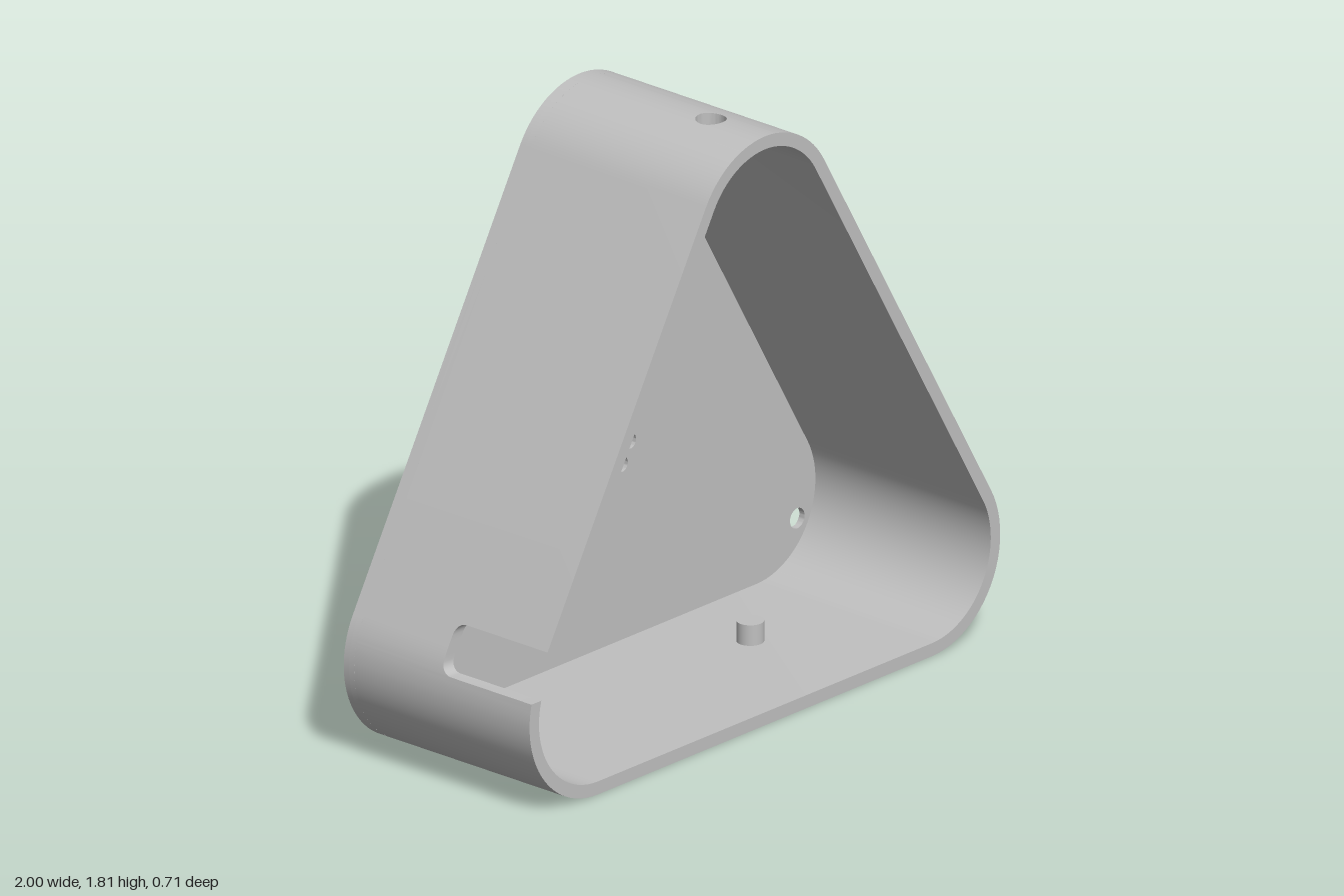
import * as THREE from 'three';
import { toCreasedNormals } from 'three/addons/utils/BufferGeometryUtils.js';

const A = 0.71, LOW = 0.29, TOP = 1.52;   // corner centres: (+-A, LOW) and (0, TOP)
const R = 0.29, RI = 0.25;                // outer and inner corner radius
const BACK = -0.357, FRONT = 0.357, PLATE = 0.04;
const FLOOR = BACK + PLATE;
const rad = THREE.MathUtils.degToRad;

// Solid strip swept through stations {o, i, lo, hi}: outer point, inner point, z range
function loft(stations) {
  const pos = [];
  const ring = ({ o, i, lo, hi }) => [[o, lo], [o, hi], [i, hi], [i, lo]]
    .map(([p, z]) => new THREE.Vector3(p[0], p[1], z));
  const tri = (...t) => {
    if (new THREE.Triangle(...t).getArea() > 1e-8) t.forEach(v => pos.push(v.x, v.y, v.z));
  };
  for (let n = 0; n + 1 < stations.length; n++) {
    const a = ring(stations[n]), b = ring(stations[n + 1]);
    for (let k = 0; k < 4; k++) {
      const m = (k + 1) % 4;
      tri(a[k], b[k], b[m]);
      tri(a[k], b[m], a[m]);
    }
  }
  const g = new THREE.BufferGeometry();
  g.setAttribute('position', new THREE.Float32BufferAttribute(pos, 3));
  return toCreasedNormals(g, 0.4);
}

// Stations cut radially, vertically (top arc) and horizontally (left side)
function radial(cx, cy, deg) {
  const c = Math.cos(rad(deg)), s = Math.sin(rad(deg));
  return { o: [cx + R * c, cy + R * s], i: [cx + RI * c, cy + RI * s], lo: FLOOR, hi: FRONT };
}
function vertical(x, lo = FLOOR, hi = FRONT) {
  const p = r => [x, TOP + Math.sqrt(r * r - x * x)];
  return { o: p(R), i: p(RI), lo, hi };
}
function horizontal(y, hi = FRONT) {
  const d = y - LOW;
  const p = r => [d < r / 2 ? -A - Math.sqrt(r * r - d * d) : -A + (d / 2 - r) / Math.cos(rad(30)), y];
  return { o: p(R), i: p(RI), lo: FLOOR, hi };
}

export function createModel() {
  const group = new THREE.Group();
  const grey = new THREE.MeshStandardMaterial({ color: 0xc0c0c0 });
  grey.name = 'grey plastic';
  const add = (name, geometry) => {
    const mesh = new THREE.Mesh(geometry, grey);
    mesh.name = name;
    group.add(mesh);
    return mesh;
  };

  // Wall, counter-clockwise from the top hole, with the cable slot in one side
  const holeR = 0.045, holeZ = 0.15;
  const wall = [vertical(-holeR)];
  const arc = (cx, cy, from, to) => {
    for (let d = from; d <= to; d += 5) wall.push(radial(cx, cy, d));
  };
  arc(0, TOP, 105, 150);
  const slotTop = 0.5, slotBottom = 0.36, slotEnd = 0.01, fillet = 0.035, steps = 6;
  wall.push(horizontal(0.62), horizontal(slotTop));
  for (let n = 0; n <= steps; n++) {
    const t = n / steps * Math.PI / 2;
    wall.push(horizontal(slotTop - fillet * (1 - Math.cos(t)), slotEnd + fillet * (1 - Math.sin(t))));
  }
  for (const y of [0.45, 0.435, 0.415]) wall.push(horizontal(y, slotEnd));
  for (let n = steps; n >= 0; n--) {
    const t = n / steps * Math.PI / 2;
    wall.push(horizontal(slotBottom + fillet * (1 - Math.cos(t)), slotEnd + fillet * (1 - Math.sin(t))));
  }
  for (const y of [slotBottom, 0.335, 0.31, LOW]) wall.push(horizontal(y));
  arc(-A, LOW, 185, 270);
  arc(A, LOW, 270, 390);
  arc(0, TOP, 30, 75);
  wall.push(vertical(holeR));
  add('wall', loft(wall));

  // Wall on both sides of the round button hole
  const behind = [], before = [];
  for (let n = 0; n <= 24; n++) {
    const t = n / 24 * Math.PI, x = holeR * Math.cos(t), h = holeR * Math.sin(t);
    behind.push(vertical(x, FLOOR, holeZ - h));
    before.push(vertical(x, holeZ + h, FRONT));
  }
  add('wallBehindButtonHole', loft(behind));
  add('wallBeforeButtonHole', loft(before));

  // Back plate in two layers, so the screw holes are counterbored
  const backLayer = (name, z, screwR) => {
    const shape = new THREE.Shape();
    shape.absarc(0, TOP, R, rad(30), rad(150));
    shape.absarc(-A, LOW, R, rad(150), rad(270));
    shape.absarc(A, LOW, R, rad(270), rad(390));
    const hole = (x, y, r) => shape.holes.push(new THREE.Path().absarc(x, y, r, 0, Math.PI * 2, true));
    hole(0, TOP + 0.2, screwR);
    for (const side of [-1, 1]) hole(side * (A + 0.173), LOW - 0.1, screwR);
    // Speaker grille
    for (let row = 0; row < 5; row++)
      for (let col = -2; col <= 2; col++)
        hole(col * 0.07 + (row % 2) * 0.035, 0.821 - row * 0.0607, 0.023);
    const g = new THREE.ExtrudeGeometry(shape, { depth: PLATE / 2, bevelEnabled: false, curveSegments: 24 });
    add(name, toCreasedNormals(g, 0.4)).position.z = z;
  };
  backLayer('backPlateOuter', BACK, 0.055);
  backLayer('backPlateInner', BACK + PLATE / 2, 0.031);

  // Locating pegs on the floor of the case
  for (const x of [-0.69, 0.377])
    add('peg', new THREE.CylinderGeometry(0.04, 0.04, 0.065, 32)).position.set(x, 0.0705, -0.04);

  return group;
}
